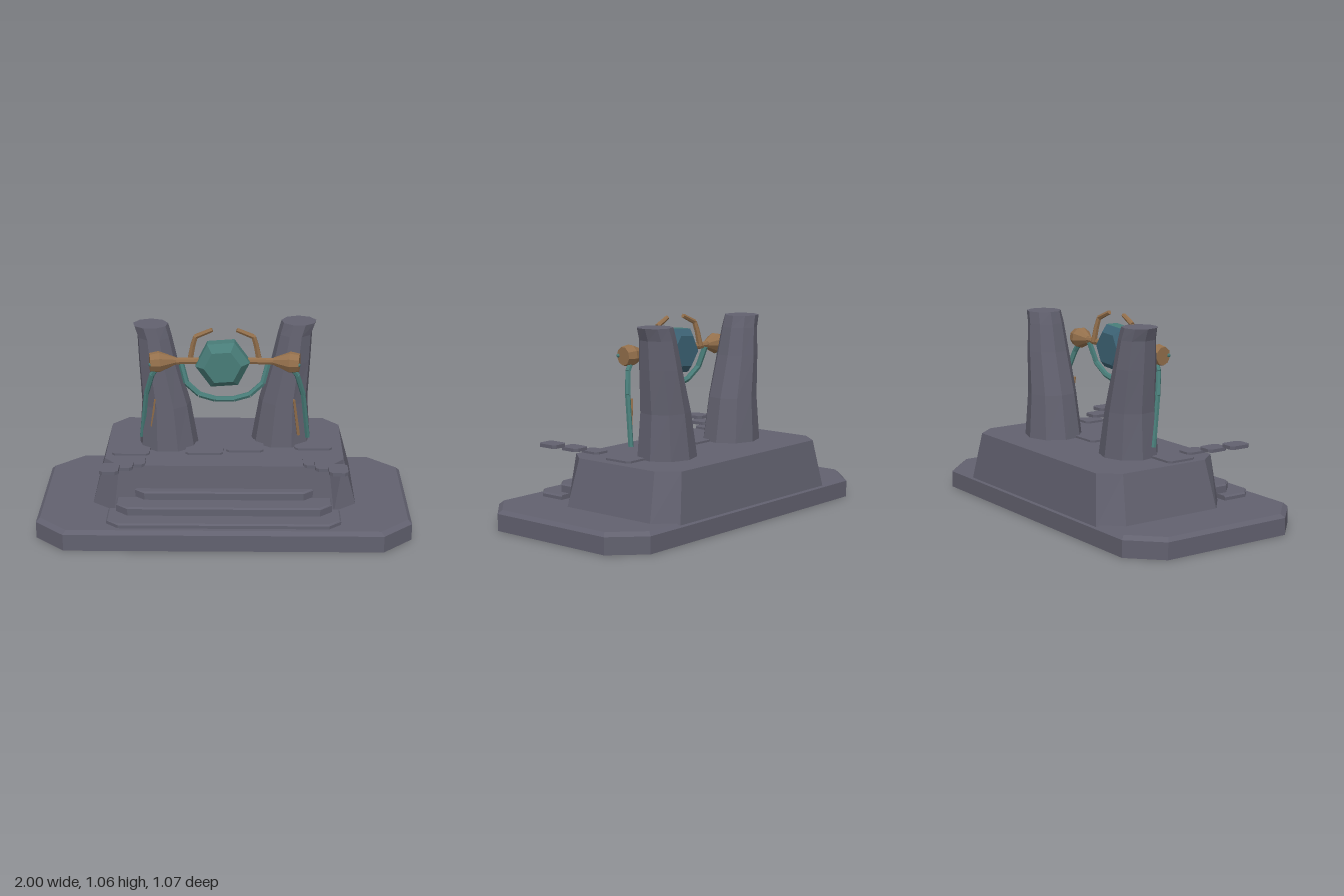
import * as THREE from 'three';

const material = (name, color) => {
  const m = new THREE.MeshStandardMaterial({ color, flatShading: true });
  m.name = name;
  return m;
};

// Closed solid from stacked rings of [x, z] points, each ring at its own height
function loft(rings, heights) {
  const pos = [];
  const n = rings[0].length;
  const at = (k, i) => [rings[k][i % n][0], heights[k], rings[k][i % n][1]];
  const tri = (...pts) => pts.forEach((p) => pos.push(...p));
  const middle = (k) => [
    rings[k].reduce((s, p) => s + p[0], 0) / n, heights[k],
    rings[k].reduce((s, p) => s + p[1], 0) / n,
  ];
  const top = rings.length - 1;
  for (let i = 0; i < n; i++) {
    for (let k = 0; k < top; k++) {
      tri(at(k, i), at(k, i + 1), at(k + 1, i + 1));
      tri(at(k, i), at(k + 1, i + 1), at(k + 1, i));
    }
    tri(middle(0), at(0, i + 1), at(0, i));
    tri(middle(top), at(top, i), at(top, i + 1));
  }
  const g = new THREE.BufferGeometry();
  g.setAttribute('position', new THREE.Float32BufferAttribute(pos, 3));
  g.computeVertexNormals();
  return g;
}

// Eight-cornered outline, mirrored in x: front edge, side edge, back edge
const outline = (x, xFront, zFront, zSideFront, zSideBack, xBack, zBack) => [
  [-xFront, zFront], [xFront, zFront], [x, zSideFront], [x, zSideBack],
  [xBack, zBack], [-xBack, zBack], [-x, zSideBack], [-x, zSideFront],
];
const chamfered = (x, z, c) => outline(x, x - c, z, z - c, c - z, x - c, -z);

const ring = (n, cx, cz, rx, rz, start = 0) => Array.from({ length: n }, (_, i) => {
  const a = start + (i / n) * Math.PI * 2;
  return [cx + Math.sin(a) * rx, cz + Math.cos(a) * rz];
});

export function createModel() {
  const model = new THREE.Group();
  model.name = 'shrine';
  const stone = material('stone', 0x62616f);
  const bronze = material('bronze', 0x94704c);
  const teal = material('teal', 0x487c78);
  const blue = material('deepBlue', 0x3c6274);

  const add = (name, geometry, mat, parent = model) => {
    const mesh = new THREE.Mesh(geometry, mat);
    mesh.name = name;
    parent.add(mesh);
    return mesh;
  };

  // Tapered rod between two points
  const rod = (name, from, to, r0, r1, mat, sides = 6, parent = model) => {
    const a = new THREE.Vector3(...from);
    const b = new THREE.Vector3(...to);
    const dir = b.clone().sub(a);
    const mesh = add(name, new THREE.CylinderGeometry(r1, r0, dir.length(), sides), mat, parent);
    mesh.position.copy(a).add(b).multiplyScalar(0.5);
    mesh.quaternion.setFromUnitVectors(new THREE.Vector3(0, 1, 0), dir.normalize());
  };
  // Chain of rods through several points, thinning towards the end
  const chain = (name, pts, r0, r1, mat) => {
    const g = new THREE.Group();
    g.name = name;
    const n = pts.length - 1;
    for (let i = 0; i < n; i++) {
      const ra = r0 + ((r1 - r0) * i) / n;
      const rb = r0 + ((r1 - r0) * (i + 1)) / n;
      rod(name + 'Segment', pts[i], pts[i + 1], ra, rb, mat, 6, g);
    }
    model.add(g);
  };

  // Base plinth with bevelled rim
  add('base', loft([chamfered(1, 0.535, 0.16), chamfered(1, 0.535, 0.16), chamfered(0.98, 0.515, 0.155)],
    [0, 0.09, 0.11]), stone);

  // Sloping podium
  add('podium', loft([
    outline(0.715, 0.59, 0.265, 0.155, -0.42, 0.61, -0.53),
    outline(0.645, 0.56, 0.235, 0.13, -0.39, 0.56, -0.495),
  ], [0.1, 0.36]), stone);

  // Front steps: half width, front z, back z, bottom, top
  [[0.62, 0.49, 0.29, 0.105, 0.135], [0.575, 0.395, 0.22, 0.14, 0.185], [0.49, 0.3, 0.2, 0.19, 0.235]]
    .forEach(([x, zf, zb, y0, y1]) => {
      const shape = (d) => outline(x - d, x - 0.065 - d, zf - d, zf - 0.06, zb + 0.01, x - d, zb);
      add('step', loft([shape(0), shape(0), shape(0.008)], [y0, y1 - 0.008, y1]), stone);
    });

  // Floating and floor slabs
  const slab = (name, x, y, z, w, h, d) => {
    const c = 0.018;
    add(name, loft([chamfered(w / 2, d / 2, c), chamfered(w / 2, d / 2, c)], [0, h]), stone)
      .position.set(x, y, z);
  };
  for (const s of [-1, 1]) {
    slab('floatingSlab', s * 0.473, 0.355, 0.185, 0.1, 0.017, 0.125);
    slab('floatingSlab', s * 0.533, 0.37, 0.275, 0.1, 0.018, 0.122);
    slab('floatingSlab', s * 0.601, 0.386, 0.37, 0.1, 0.019, 0.125);
  }
  [[-0.51, 0.01], [-0.11, -0.005], [0.11, -0.045], [0.487, -0.08]].forEach(([x, z]) =>
    slab('floorSlab', x, 0.355, z, 0.205, 0.016, 0.17));

  // Leaning pillars: height, centre x, radius x, radius z
  const profile = [
    [0.355, 0.31, 0.165, 0.157], [0.6, 0.323, 0.135, 0.135], [0.83, 0.362, 0.108, 0.118],
    [0.98, 0.382, 0.094, 0.102], [1.045, 0.402, 0.096, 0.095],
  ];
  [[-1, -0.113], [1, -0.18]].forEach(([s, z]) => {
    add('pillar', loft(profile.map(([, x, rx, rz]) => ring(9, s * x, z, rx, rz, s * 0.35)),
      profile.map((p) => p[0])), stone);
  });

  // Faceted crystal, teal at the front and blue at the back
  const hex = (r) => ring(6, 0, 0, r, r * 0.94, 0.6);
  const crystal = new THREE.Group();
  crystal.name = 'crystal';
  crystal.position.set(-0.01, 0.872, 0);
  add('crystalFront', loft([hex(0.145), hex(0.145), hex(0.1)], [-0.002, 0.065, 0.115])
    .rotateX(Math.PI / 2), teal, crystal);
  add('crystalBack', loft([hex(0.1), hex(0.145)], [-0.045, -0.002])
    .rotateX(Math.PI / 2), blue, crystal);
  model.add(crystal);

  for (const s of [-1, 1]) {
    // Axle arms with flared knobs
    rod('arm', [s * 0.1, 0.88, 0.015], [s * 0.3, 0.879, 0.026], 0.018, 0.02, bronze, 8);
    rod('knobFlare', [s * 0.26, 0.88, 0.023], [s * 0.35, 0.878, 0.035], 0.02, 0.058, bronze, 9);
    rod('knob', [s * 0.35, 0.878, 0.035], [s * 0.4, 0.877, 0.042], 0.058, 0.05, bronze, 9);
    add('knobStud', new THREE.SphereGeometry(0.01, 8, 6), teal).position.set(s * 0.395, 0.877, 0.08);

    // Curved horns above the crystal
    chain('horn', [[s * 0.185, 0.88, 0.005], [s * 0.17, 0.96, 0.012], [s * 0.155, 1.015, 0.02],
      [s * 0.065, 1.055, 0.026]], 0.017, 0.012, bronze);

    // Hanging tendrils beside the pillars
    chain('tendril', [[s * 0.355, 0.85, 0.025], [s * 0.39, 0.8, 0.018], [s * 0.425, 0.68, -0.012],
      [s * 0.455, 0.415, -0.06]], 0.015, 0.014, teal);
    chain('thinTendril', [[s * 0.375, 0.655, 0.006], [s * 0.403, 0.445, -0.014]], 0.007, 0.009, bronze);
  }

  // Cradle loop under the crystal
  chain('cradle', [[-0.235, 0.87, 0.01], [-0.205, 0.76, 0.035], [-0.135, 0.7, 0.05], [-0.05, 0.677, 0.056],
    [0.05, 0.677, 0.056], [0.135, 0.7, 0.05], [0.205, 0.76, 0.035], [0.235, 0.87, 0.01]], 0.016, 0.016, teal);

  return model;
}
